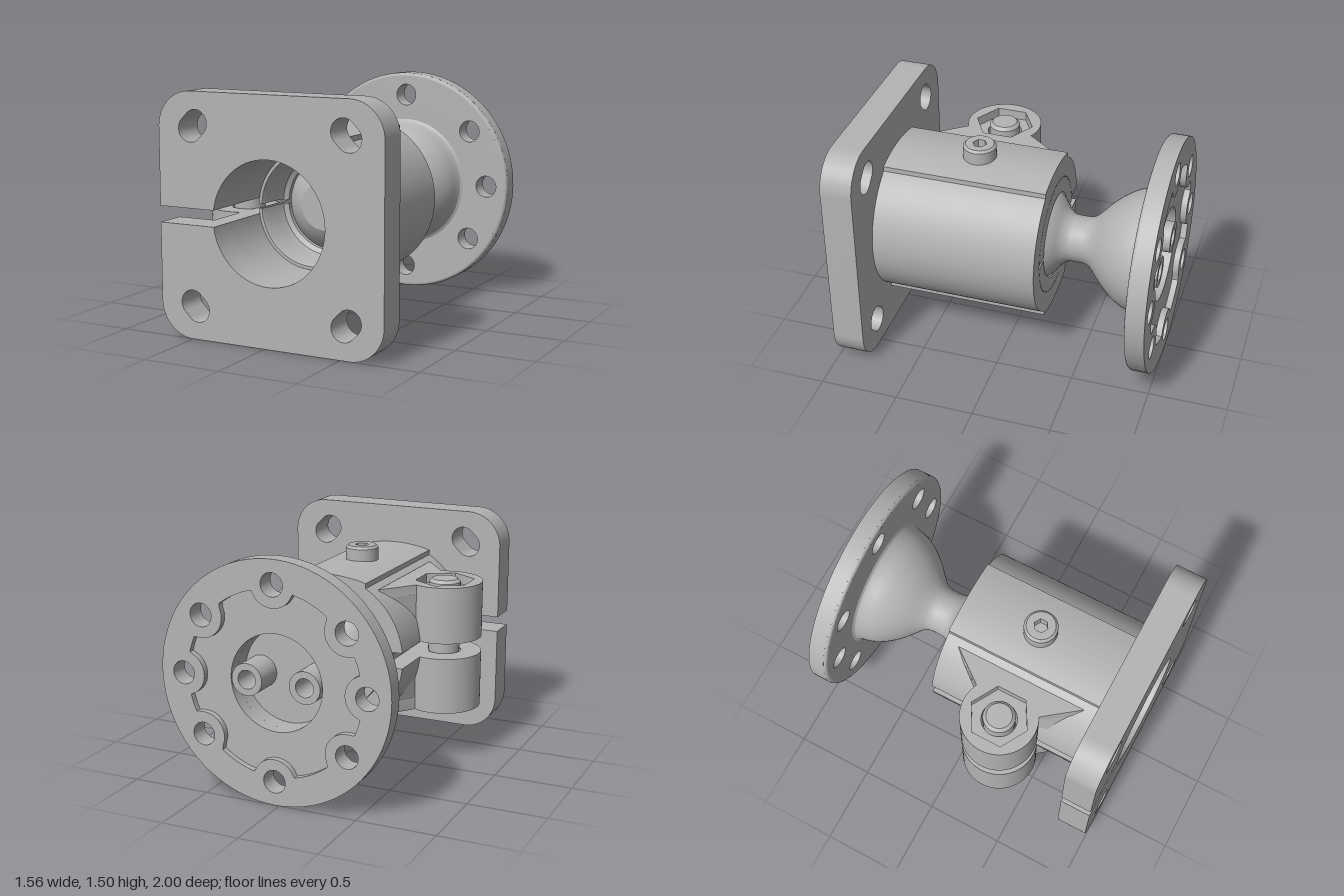
import * as THREE from 'three';
import { toCreasedNormals } from 'three/addons/utils/BufferGeometryUtils.js';

const metal = new THREE.MeshStandardMaterial({ color: 0xb4b4b4, side: THREE.DoubleSide });
metal.name = 'grey metal';

const BORE = 0.375, BODY = 0.5, SLIT = 0.05;
const crown = x => 0.5 - 0.56 * x * x; // shallow arc of the top and bottom pads

// ---- helpers -------------------------------------------------------------
function add(parent, name, geo, crease = 0.5) {
  const mesh = new THREE.Mesh(toCreasedNormals(geo, crease), metal);
  mesh.name = name;
  parent.add(mesh);
  return mesh;
}
function circle(x, y, r, Type = THREE.Path) {
  const p = new Type();
  p.absarc(x, y, r, 0, Math.PI * 2, false);
  return p;
}
function hexagon(x, y, r) {
  const pts = [];
  for (let i = 0; i < 6; i++) {
    const a = Math.PI / 2 + i * Math.PI / 3;
    pts.push(new THREE.Vector2(x + r * Math.cos(a), y + r * Math.sin(a)));
  }
  return new THREE.Path(pts);
}
function extrudeZ(shape, z0, z1, seg = 48) {
  return new THREE.ExtrudeGeometry(shape, { depth: z1 - z0, bevelEnabled: false, curveSegments: seg }).translate(0, 0, z0);
}
// Extrude upwards; the shape's y becomes -z
function extrudeY(shape, y0, y1, seg = 32) {
  return extrudeZ(shape, 0, y1 - y0, seg).rotateX(-Math.PI / 2).translate(0, y0, 0);
}
// Revolve [radius, z] points about the z axis
function revolve(points, start = 0, length = Math.PI * 2) {
  return new THREE.LatheGeometry(points.map(p => new THREE.Vector2(p[0], p[1])), 64, start, length).rotateX(Math.PI / 2);
}

// ---- front mounting plate with split bore ----------------------------------
function mountingPlate(g) {
  const s = new THREE.Shape(), e = 0.75, r = 0.22, c = e - r, d = Math.asin(SLIT / BORE);
  s.moveTo(-e, SLIT);
  s.lineTo(-e, c);
  s.absarc(-c, c, r, Math.PI, Math.PI / 2, true);
  s.absarc(c, c, r, Math.PI / 2, 0, true);
  s.absarc(c, -c, r, 0, -Math.PI / 2, true);
  s.absarc(-c, -c, r, -Math.PI / 2, -Math.PI, true);
  s.lineTo(-e, -SLIT);
  s.absarc(0, 0, BORE, -Math.PI + d, Math.PI - d, false);
  s.closePath();
  // short slots that run around the plate's centre
  for (const sx of [-1, 1]) for (const sy of [-1, 1]) {
    const a = Math.atan2(sy, sx) + Math.PI / 2, k = 0.025, h = new THREE.Path();
    const dx = k * Math.cos(a), dy = k * Math.sin(a), x = sx * 0.51, y = sy * 0.545;
    h.absarc(x + dx, y + dy, 0.08, a - Math.PI / 2, a + Math.PI / 2, false);
    h.absarc(x - dx, y - dy, 0.08, a + Math.PI / 2, a + 1.5 * Math.PI, false);
    h.closePath();
    s.holes.push(h);
  }
  add(g, 'mountingPlate', extrudeZ(s, 0.8, 1));
}

// ---- split clamp tube with crowned pads -------------------------------------
function clampBody(g) {
  const s = new THREE.Shape(), o = Math.asin(SLIT / BODY), i = Math.asin(SLIT / BORE), P = Math.PI;
  s.absarc(0, 0, BODY, -P + o, -2 * P / 3, false);
  s.absarc(0, 0, BODY, -P / 3, P - o, false);
  s.absarc(0, 0, BORE, P - i, -P + i, true);
  s.closePath();
  add(g, 'clampTube', extrudeZ(s, -0.25, 0.8));

  const pad = (name, sign, z0, z1) => {
    const pts = [new THREE.Vector2(-0.25, sign * 0.43)];
    for (let k = -6; k <= 6; k++) pts.push(new THREE.Vector2(k * 0.25 / 6, sign * crown(k * 0.25 / 6)));
    pts.push(new THREE.Vector2(0.25, sign * 0.43));
    add(g, name, extrudeZ(new THREE.Shape(pts), z0, z1), 0.3);
  };
  pad('topPad', 1, -0.25, 0.8);
  pad('bottomPadRear', -1, -0.25, 0.09);
  pad('bottomPadFront', -1, 0.45, 0.8);

  // the bottom pad on both sides of its round recess
  for (const side of [-1, 1]) {
    const n = 8, geo = new THREE.PlaneGeometry(1, 1, n, 24), pos = geo.attributes.position;
    for (let v = 0; v < pos.count; v++) {
      const col = v % (n + 1), t = Math.PI * Math.floor(v / (n + 1)) / 24;
      const rim = 0.18 * Math.sin(t);
      const u = Math.min(Math.max((col - 1) / (n - 2), 0), 1);
      const x = rim + (0.25 - rim) * u;
      pos.setXYZ(v, side * x, col === 0 || col === n ? -0.433 : -crown(x), 0.27 - 0.18 * Math.cos(t));
    }
    add(g, 'bottomPadSide', geo);
  }
}

// ---- clamping ears, bolt and set screw ---------------------------------------
const EAR_X = -0.57, EAR_Z = 0.27;
function clampEars(g) {
  const ear = (name, y0, y1, hole) => {
    const s = new THREE.Shape();
    s.moveTo(-0.295, -0.7);
    s.lineTo(-0.295, 0.16);
    s.absarc(EAR_X, -EAR_Z, 0.24, Math.PI * 0.35, Math.PI * 1.65, false);
    s.closePath();
    s.holes.push(hole);
    const geo = extrudeY(s, y0, y1), pos = geo.attributes.position;
    // slope the root so that it stays inside the tube wall
    for (let v = 0; v < pos.count; v++) {
      if (pos.getX(v) < -0.3) continue;
      const back = 0.14 * (0.41 - Math.abs(pos.getY(v))) / 0.36;
      const z = pos.getZ(v);
      pos.setX(v, -0.295 - back);
      pos.setZ(v, z - Math.sign(z - EAR_Z) * back * 0.53);
    }
    add(g, name, geo);
  };
  const round = r => circle(EAR_X, -EAR_Z, r);
  ear('upperEar', SLIT, 0.35, round(0.11));
  ear('upperEarNutPocket', 0.35, 0.41, hexagon(EAR_X, -EAR_Z, 0.19));
  ear('lowerEar', -0.33, -SLIT, round(0.11));
  ear('lowerEarCounterbore', -0.41, -0.33, round(0.16));

  const bolt = new THREE.Group();
  bolt.name = 'clampBolt';
  bolt.position.set(EAR_X, 0, EAR_Z);
  g.add(bolt);
  add(bolt, 'boltShaft', new THREE.CylinderGeometry(0.1, 0.1, 0.73, 32).translate(0, 0.035, 0));
  add(bolt, 'boltTip', new THREE.CylinderGeometry(0.08, 0.1, 0.02, 32).translate(0, 0.41, 0));
  const head = circle(0, 0, 0.135, THREE.Shape);
  head.holes.push(hexagon(0, 0, 0.07));
  add(bolt, 'boltHead', extrudeY(head, -0.39, -0.325));

  const screw = circle(0, 0, 0.105, THREE.Shape), top = circle(0, 0, 0.09, THREE.Shape);
  screw.holes.push(hexagon(0, 0, 0.045));
  top.holes.push(hexagon(0, 0, 0.045));
  const set = new THREE.Group();
  set.name = 'setScrew';
  set.position.set(0, 0, 0.25);
  g.add(set);
  add(set, 'screwHead', extrudeY(screw, 0.48, 0.575));
  add(set, 'screwTop', extrudeY(top, 0.575, 0.59));
  add(set, 'screwChamfer', new THREE.CylinderGeometry(0.09, 0.105, 0.015, 32, 1, true).translate(0, 0.5825, 0));
  add(set, 'socketFloor', new THREE.CylinderGeometry(0.06, 0.06, 0.02, 16).translate(0, 0.52, 0));
}

// ---- ball stud and the two seat halves that hold it ---------------------------
function ballJoint(g) {
  const profile = [[0, -0.78], [0.3, -0.78], [0.3, -0.88], [0.44, -0.88], [0.415, -0.865], [0.402, -0.84],
    [0.395, -0.8], [0.378, -0.75], [0.35, -0.7], [0.315, -0.65], [0.27, -0.6], [0.215, -0.55],
    [0.172, -0.51], [0.155, -0.48], [0.15, -0.45], [0.15, -0.38], [0.157, -0.35], [0.185, -0.315]];
  for (let a = -55; a <= 65; a += 5) {
    const t = a * Math.PI / 180;
    profile.push([0.364 * Math.cos(t), 0.364 * Math.sin(t)]);
  }
  profile.push([0.15, 0.332], [0, 0.332]);
  add(g, 'ballStud', revolve(profile));

  const seat = [[0.372, -0.25], [0.275, -0.25], [0.33, -0.16], [0.366, 0], [0.345, 0.12], [0.29, 0.22],
    [0.29, 0.25], [0.318, 0.27], [0.335, 0.33], [0.34, 0.45], [0.352, 0.48], [0.372, 0.48], [0.372, -0.25]];
  for (const start of [0, Math.PI]) {
    add(g, 'ballSeatHalf', revolve(seat, Math.PI / 2 + start + 0.04, Math.PI - 0.08));
  }
}

// ---- round rear flange --------------------------------------------------------
function rearFlange(g) {
  const angles = [0, 38, 90, 142, 180, 218, 270, 322].map(a => a * Math.PI / 180), R = 0.6;
  const disc = (r, inner) => {
    const s = circle(0, 0, r, THREE.Shape);
    s.holes.push(inner, ...angles.map(a => circle(R * Math.cos(a), R * Math.sin(a), 0.072)));
    return s;
  };
  // shallow recess that goes round a boss at each hole
  const pts = [];
  for (let i = 0; i < 240; i++) {
    const t = i * Math.PI / 120;
    let r = 0.57;
    for (const a of angles) {
      const q = 0.14 ** 2 - (R * Math.sin(t - a)) ** 2;
      if (q > 0 && Math.cos(t - a) > 0) r = Math.min(r, R * Math.cos(t - a) - Math.sqrt(q));
    }
    pts.push(new THREE.Vector2(r * Math.cos(t), r * Math.sin(t)));
  }
  add(g, 'flangeBackRim', extrudeZ(disc(0.75, new THREE.Path(pts)), -1, -0.96));
  add(g, 'flangePlate', extrudeZ(disc(0.75, circle(0, 0, 0.3)), -0.96, -0.895));
  add(g, 'flangeFront', extrudeZ(disc(0.73, circle(0, 0, 0.3)), -0.895, -0.875));
  add(g, 'flangeRoundedEdge', new THREE.TorusGeometry(0.73, 0.02, 12, 64).translate(0, 0, -0.895));

  // hollow posts in the rear cavity
  for (const x of [-0.19, 0.19]) {
    const post = circle(x, 0, 0.1, THREE.Shape);
    post.holes.push(circle(x, 0, 0.058));
    add(g, 'cavityPost', extrudeZ(post, -0.97, -0.77, 32));
  }
}

export function createModel() {
  const model = new THREE.Group();
  model.name = 'ballJointMount';
  const g = new THREE.Group();
  g.name = 'mountAssembly';
  g.position.set(0.03, 0.75, 0);
  model.add(g);
  mountingPlate(g);
  clampBody(g);
  clampEars(g);
  ballJoint(g);
  rearFlange(g);
  return model;
}
